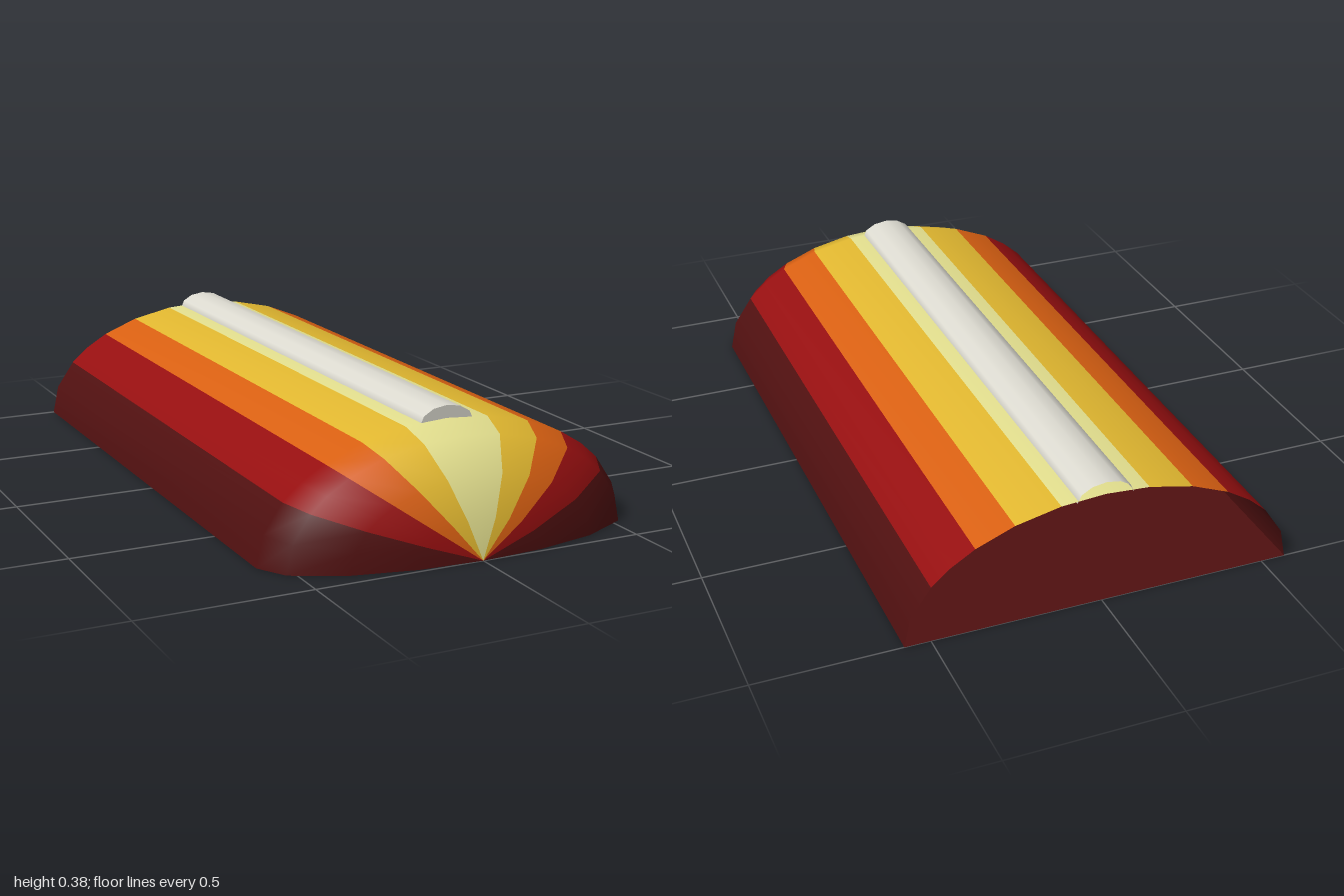
import * as THREE from 'three';

const HALF_W = 0.575, HEIGHT = 0.347, BACK = -1, SHOULDER = 0.79, NOSE = 0.21;
const rad = THREE.MathUtils.degToRad;

function material(name, color) {
  const m = new THREE.MeshStandardMaterial({ color, side: THREE.DoubleSide });
  m.name = name;
  return m;
}

// Arched shell: an elliptical arch swept forward, closing to a point at the nose
function shellGeometry() {
  const half = [0, 15, 30, 39.5, 49.5, 63, 77];
  const halfBands = [0, 0, 1, 1, 2, 3, 4]; // colour of each strip, from the rim upward
  const angles = [...half, 90, ...half.map(a => 180 - a).reverse()];
  const bands = [...halfBands, ...halfBands.slice().reverse()];
  const rings = [[BACK, 1], [SHOULDER, 1]];
  for (const a of [66, 41, 19.5, 0]) {
    rings.push([SHOULDER + NOSE * Math.cos(rad(a)), Math.sin(rad(a))]);
  }

  const positions = [];
  for (const [z, s] of rings) {
    for (const a of angles) {
      positions.push(HALF_W * s * Math.cos(rad(a)), HEIGHT * s * Math.sin(rad(a)), z);
    }
  }

  const geometry = new THREE.BufferGeometry();
  const index = [], n = angles.length;
  bands.forEach((band, i) => {
    const start = index.length;
    for (let j = 0; j < rings.length - 1; j++) {
      const a = j * n + i, b = a + 1, c = a + n, d = c + 1;
      index.push(a, b, c);
      if (j < rings.length - 2) index.push(b, d, c);
      else index.splice(-3, 3, a, b, c);
    }
    geometry.addGroup(start, index.length - start, band);
  });
  geometry.setAttribute('position', new THREE.Float32BufferAttribute(positions, 3));
  geometry.setIndex(index);
  geometry.computeVertexNormals();
  return geometry;
}

// Flat underside following the rim of the shell
function floorGeometry() {
  const points = [[-HALF_W, BACK], [HALF_W, BACK], [HALF_W, SHOULDER]];
  for (const a of [66, 41, 19.5, 0, -19.5, -41, -66, -90]) {
    points.push([HALF_W * Math.sin(rad(a)), SHOULDER + NOSE * Math.cos(rad(a))]);
  }
  const shape = new THREE.Shape(points.map(p => new THREE.Vector2(...p)));
  return new THREE.ShapeGeometry(shape).rotateX(Math.PI / 2);
}

export function createModel() {
  const model = new THREE.Group();
  model.name = 'stripedShell';
  const maroon = material('maroon', 0x501010);
  const red = material('red', 0x960f10);
  const orange = material('orange', 0xd96012);
  const gold = material('gold', 0xe2b830);
  const pale = material('paleYellow', 0xe3df8e);
  const grey = material('lightGrey', 0xdcdad0);

  function add(parent, name, geometry, mat) {
    const mesh = new THREE.Mesh(geometry, mat);
    mesh.name = name;
    parent.add(mesh);
    return mesh;
  }

  add(model, 'shell', shellGeometry(), [maroon, red, orange, gold, pale]);
  add(model, 'floor', floorGeometry(), maroon);

  // Half-round ridge along the crown, open at the back
  const ridge = new THREE.Group();
  ridge.name = 'ridge';
  const length = SHOULDER - BACK;
  const tube = new THREE.CylinderGeometry(1, 1, length, 6, 1, true, Math.PI / 2, Math.PI);
  tube.rotateX(Math.PI / 2).scale(0.083, 0.049, 1);
  add(ridge, 'ridgeTube', tube, grey).position.z = (SHOULDER + BACK) / 2;
  const cap = new THREE.CircleGeometry(1, 6, 0, Math.PI).scale(0.083, 0.049, 1);
  add(ridge, 'ridgeFrontCap', cap, grey).position.z = SHOULDER;
  ridge.position.y = 0.335;
  model.add(ridge);

  return model;
}
